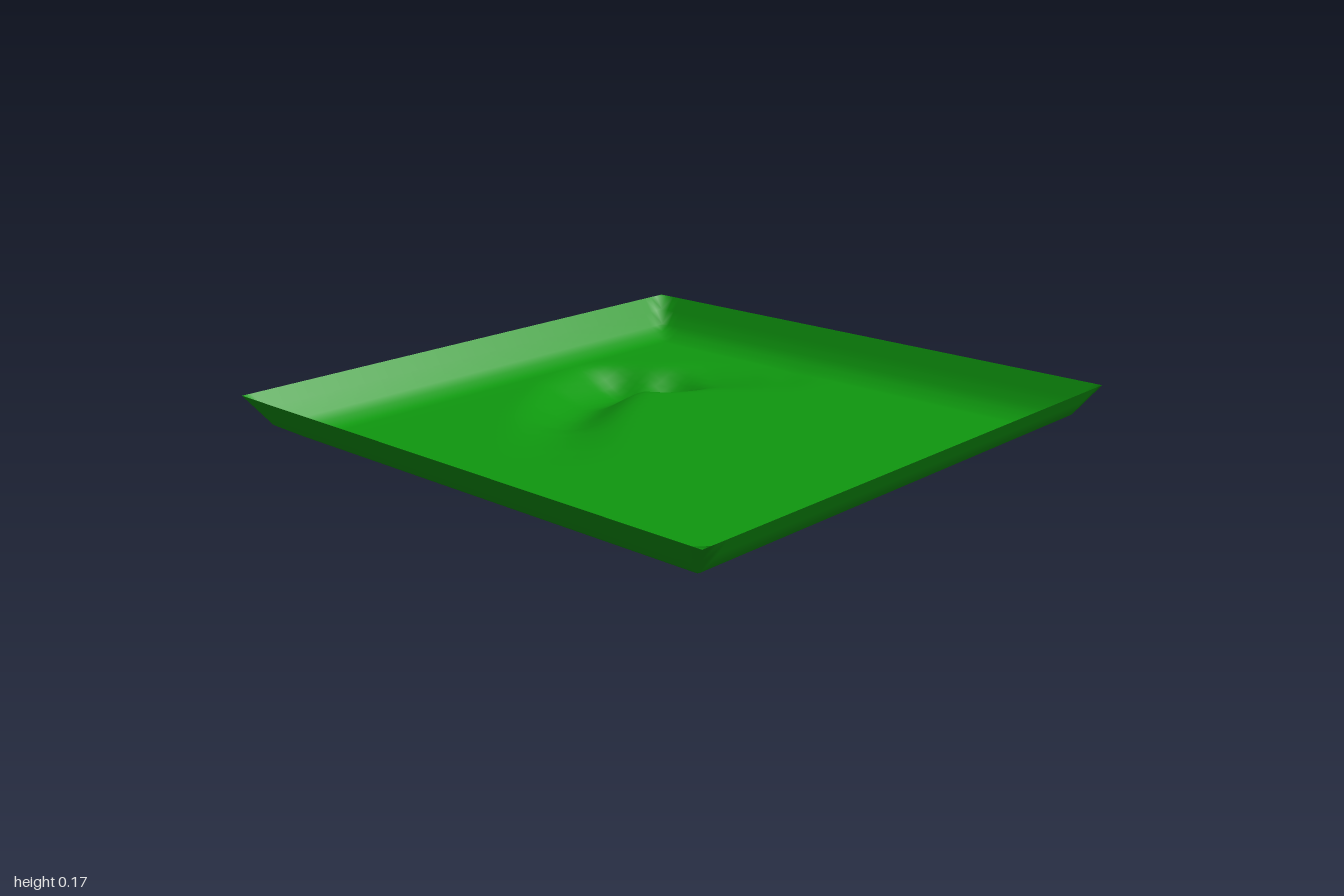
import * as THREE from 'three';

const SIDE = 1.432, HALF = SIDE / 2, CELLS = 60;

// Rim height by distance in from the edge: [distance, height]
const RIM = [[0, 0.176], [0.0477, 0.104], [0.0955, 0.075], [0.15, 0.073]];

// Centre line of the curved hollow: [x, z, depth]
const HOLLOW = [
  [0.18, -0.5, 0.007], [0, -0.5, 0.026], [-0.09, -0.47, 0.071], [-0.15, -0.47, 0.05],
  [-0.22, -0.47, 0.071], [-0.27, -0.34, 0.059], [-0.28, -0.2, 0.047],
  [-0.28, -0.1, 0.034], [-0.27, 0, 0.018], [-0.25, 0.16, 0.005],
];

function rimHeight(d) {
  for (let i = 1; i < RIM.length; i++) {
    const [d0, h0] = RIM[i - 1], [d1, h1] = RIM[i];
    if (d <= d1) return THREE.MathUtils.mapLinear(d, d0, d1, h0, h1);
  }
  return RIM[RIM.length - 1][1];
}

// Depth falls off smoothly on both sides of the centre line
function hollowDepth(x, z) {
  let deepest = 0;
  for (let i = 1; i < HOLLOW.length; i++) {
    const [ax, az, a] = HOLLOW[i - 1], [bx, bz, b] = HOLLOW[i];
    const dx = bx - ax, dz = bz - az;
    const t = THREE.MathUtils.clamp(((x - ax) * dx + (z - az) * dz) / (dx * dx + dz * dz), 0, 1);
    const dist = Math.hypot(x - ax - t * dx, z - az - t * dz);
    const fall = dist < 0.15 ? 0.5 + 0.5 * Math.cos(Math.PI * dist / 0.15) : 0;
    deepest = Math.max(deepest, (a + (b - a) * t) * fall);
  }
  return deepest;
}

export function createModel() {
  const model = new THREE.Group();
  model.name = 'groundPatch';

  const grass = new THREE.MeshStandardMaterial({ color: 0x0f980f, side: THREE.DoubleSide });
  grass.name = 'grassGreen';

  // Square sheet with a raised rim, turned about the vertical
  const geometry = new THREE.PlaneGeometry(SIDE, SIDE, CELLS, CELLS).rotateX(-Math.PI / 2);
  const p = geometry.attributes.position;
  for (let i = 0; i < p.count; i++) {
    const edge = HALF - Math.max(Math.abs(p.getX(i)), Math.abs(p.getZ(i)));
    p.setY(i, rimHeight(Math.max(edge, 0)));
  }
  geometry.rotateY(-0.608);

  // Press the hollow into the floor
  for (let i = 0; i < p.count; i++) {
    p.setY(i, Math.max(0, p.getY(i) - hollowDepth(p.getX(i), p.getZ(i))));
  }
  geometry.computeVertexNormals();

  const ground = new THREE.Mesh(geometry, grass);
  ground.name = 'ground';
  model.add(ground);
  return model;
}
